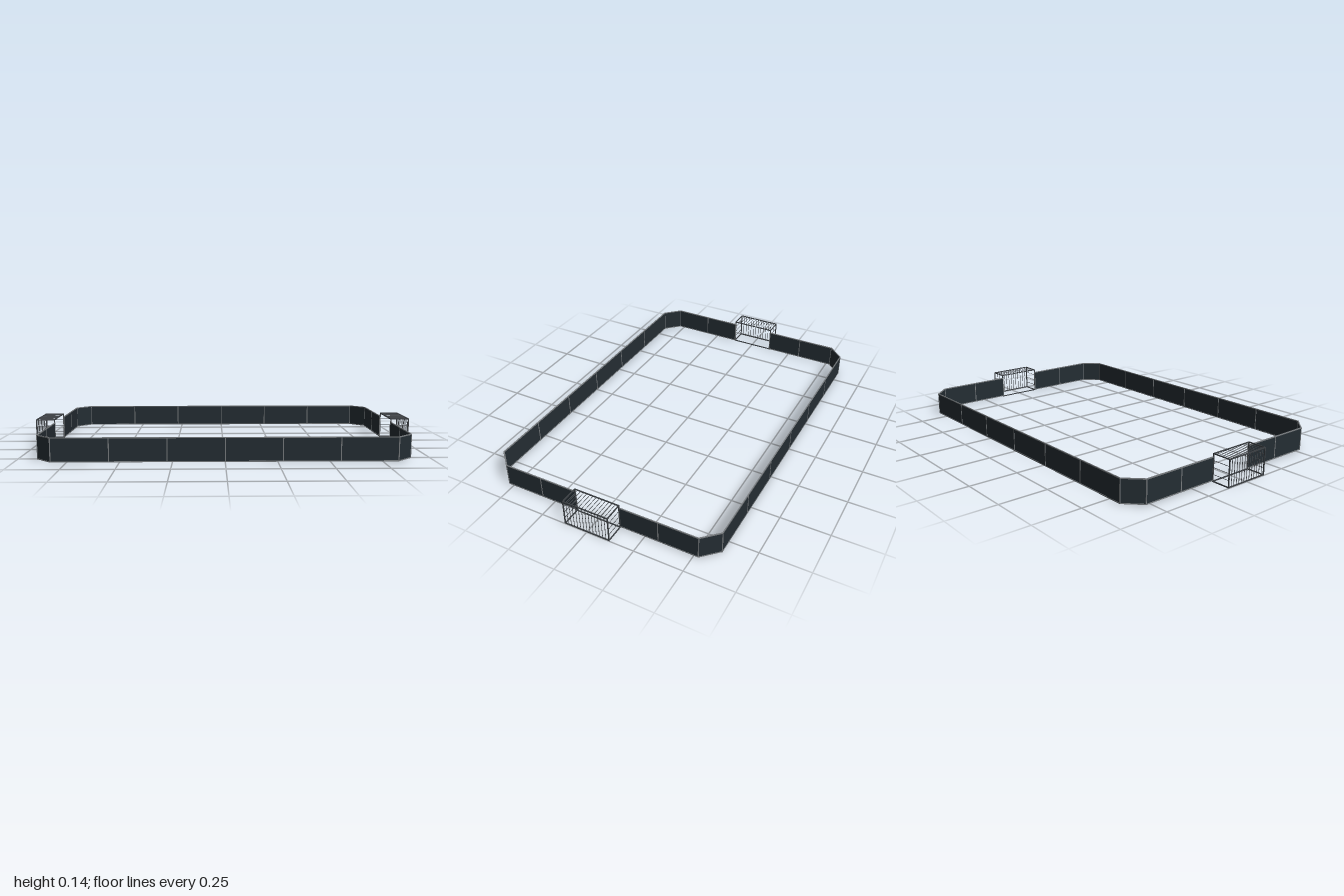
import * as THREE from 'three';

const panelMat = new THREE.MeshStandardMaterial({ color: 0x242d33, side: THREE.DoubleSide });
const railMat = new THREE.MeshStandardMaterial({ color: 0x777b7e });
const frameMat = new THREE.MeshStandardMaterial({ color: 0x3c4044 });
const netMat = new THREE.MeshStandardMaterial({ color: 0x4a4e52 });

// Square bar running between two points
function bar(name, a, b, size, material) {
  const from = new THREE.Vector3(...a), to = new THREE.Vector3(...b);
  const mesh = new THREE.Mesh(new THREE.BoxGeometry(size, size, from.distanceTo(to) + size), material);
  mesh.position.copy(from).lerp(to, 0.5);
  mesh.lookAt(to);
  mesh.name = name;
  return mesh;
}

const BOTTOM = 0.006, TOP = 0.12, RAIL = 0.005;

// One straight wall between two floor points: panel, two rails
function wall(a, b) {
  const g = new THREE.Group();
  g.name = 'wall';
  const [x0, z0] = a, [x1, z1] = b;
  const length = Math.hypot(x1 - x0, z1 - z0);
  const panel = new THREE.Mesh(new THREE.BoxGeometry(length, TOP - BOTTOM, 0.002), panelMat);
  panel.position.set((x0 + x1) / 2, (TOP + BOTTOM) / 2, (z0 + z1) / 2);
  panel.rotation.y = -Math.atan2(z1 - z0, x1 - x0);
  panel.name = 'wallPanel';
  g.add(panel);
  for (const y of [BOTTOM, TOP]) g.add(bar('wallRail', [x0, y, z0], [x1, y, z1], RAIL, railMat));
  return g;
}

// Open-mouthed goal on the +x end
function goal() {
  const g = new THREE.Group();
  g.name = 'goal';
  const X0 = 0.902, X1 = 0.997, Y0 = 0.003, Y1 = 0.137, Z = 0.12, F = 0.005, N = 0.002;
  for (const x of [X0, X1]) {
    for (const y of [Y0, Y1]) g.add(bar('goalCrossbar', [x, y, -Z], [x, y, Z], F, frameMat));
    for (const z of [-Z, Z]) g.add(bar('goalPost', [x, Y0, z], [x, Y1, z], F, frameMat));
  }
  for (const z of [-Z, Z]) {
    for (const y of [Y0, Y1]) g.add(bar('goalSideBar', [X0, y, z], [X1, y, z], F, frameMat));
    // Side net
    for (let i = 1; i < 4; i++) {
      const y = Y0 + (Y1 - Y0) * i / 4;
      g.add(bar('sideNet', [X0, y, z], [X1, y, z], N, netMat));
    }
  }
  // Roof and back net
  const count = 14;
  for (let i = 1; i < count; i++) {
    const z = -Z + 2 * Z * i / count;
    g.add(bar('roofNet', [X0, Y1, z], [X1, Y1, z], N, netMat));
    g.add(bar('backNet', [X1, Y0, z], [X1, Y1, z], N, netMat));
  }
  return g;
}

export function createModel() {
  const model = new THREE.Group();
  model.name = 'arena';
  const W = 0.9, D = 0.603, CX = 0.823, CZ = 0.524, GAP = 0.12;

  const post = (x, z) => model.add(bar('wallPost', [x, BOTTOM, z], [x, TOP, z], RAIL, railMat));
  for (const sz of [-1, 1]) {
    // Long walls with evenly spaced posts
    model.add(wall([-CX, sz * D], [CX, sz * D]));
    for (let i = -3; i <= 3; i++) post(i * CX / 3, sz * D);
    for (const sx of [-1, 1]) {
      // Chamfered corners and end walls beside the goals
      model.add(wall([sx * CX, sz * D], [sx * W, sz * CZ]));
      model.add(wall([sx * W, sz * CZ], [sx * W, sz * GAP]));
      for (const z of [CZ, 0.32, GAP]) post(sx * W, sz * z);
    }
  }

  // Goals at both ends
  const left = goal(), right = goal();
  left.name = 'leftGoal';
  right.name = 'rightGoal';
  right.rotation.y = Math.PI;
  model.add(left, right);
  return model;
}
